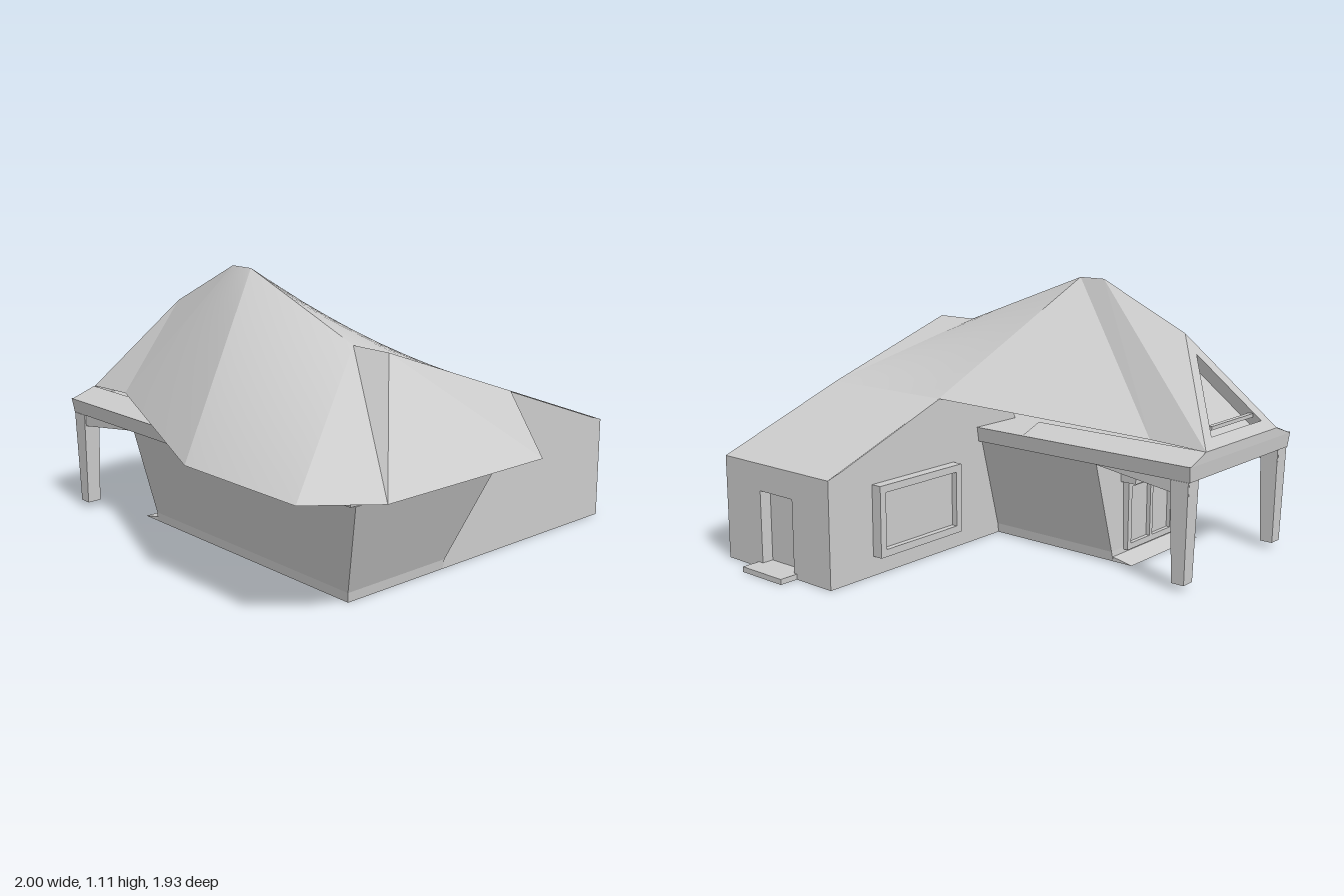
import * as THREE from 'three';

const mat = new THREE.MeshStandardMaterial({ color: 0xcccccc, flatShading: true, side: THREE.DoubleSide });
const smoothMat = new THREE.MeshStandardMaterial({ color: 0xcccccc, side: THREE.DoubleSide });
const MID = 0.34; // z of the ridge, the mirror line of the main house

function add(parent, name, geometry, material = mat) {
  const mesh = new THREE.Mesh(geometry, material);
  mesh.name = name;
  parent.add(mesh);
  return mesh;
}

// Flat faces, corners counter-clockwise from outside, split as fans
function faces(list) {
  const pos = [];
  for (const f of list)
    for (let i = 1; i < f.length - 1; i++) pos.push(...f[0], ...f[i], ...f[i + 1]);
  const g = new THREE.BufferGeometry();
  g.setAttribute('position', new THREE.Float32BufferAttribute(pos, 3));
  g.computeVertexNormals();
  return g;
}

// Smoothly twisted panel between four corners
function patch(a, b, c, d, n = 8) {
  const pos = [], index = [];
  const mix = (p, q, t) => p.map((v, i) => v + (q[i] - v) * t);
  for (let i = 0; i <= n; i++)
    for (let j = 0; j <= n; j++) pos.push(...mix(mix(a, b, i / n), mix(d, c, i / n), j / n));
  for (let i = 0; i < n; i++)
    for (let j = 0; j < n; j++) {
      const k = i * (n + 1) + j, m = k + n + 1;
      index.push(k, m, m + 1, k, m + 1, k + 1);
    }
  const g = new THREE.BufferGeometry();
  g.setAttribute('position', new THREE.Float32BufferAttribute(pos, 3));
  g.setIndex(index);
  g.computeVertexNormals();
  return g;
}

// Solid between two rectangles [x0, x1, z0, z1] at heights y0 and y1
function taper(r0, y0, r1, y1) {
  const ring = (r, y) => [[r[0], y, r[3]], [r[1], y, r[3]], [r[1], y, r[2]], [r[0], y, r[2]]];
  const b = ring(r0, y0), t = ring(r1, y1);
  const list = [t, [...b].reverse()];
  for (let i = 0; i < 4; i++) list.push([b[i], b[(i + 1) % 4], t[(i + 1) % 4], t[i]]);
  return faces(list);
}

const box = (x0, x1, y0, y1, z0, z1) => taper([x0, x1, z0, z1], y0, [x0, x1, z0, z1], y1);

// Rectangular frame on a wall facing -x
function windowFrame(parent, name, x0, x1, y0, y1, z0, z1, t) {
  const g = new THREE.Group();
  g.name = name;
  add(g, 'sill', box(x0, x1, y0, y0 + t, z0, z1));
  add(g, 'head', box(x0, x1, y1 - t, y1, z0, z1));
  add(g, 'jamb', box(x0, x1, y0 + t, y1 - t, z0, z0 + t));
  add(g, 'jamb', box(x0, x1, y0 + t, y1 - t, z1 - t, z1));
  add(g, 'pane', box((x0 + x1) / 2, x1, y0 + t, y1 - t, z0 + t, z1 - t));
  parent.add(g);
  return g;
}

function buildRoof(parent) {
  const roof = new THREE.Group();
  roof.name = 'roof';
  parent.add(roof);
  // Ridge points, then eave points
  const A = [-0.2, 1.11, MID], B = [0.41, 0.88, MID], C = [0.6, 0.88, MID];
  const H = [-0.32, 1.11, MID], I = [-0.72, 0.92, MID];
  const D = [1, 0.49, -0.06], E = [1, 0.49, 0.73], F = [0.81, 0.49, 0.96], G = [0.19, 0.49, 0.96];
  const J = [0.04, 0.65, -0.285], K = [0.65, 0.65, -0.285], L = [0.04, 0.43, -0.89], M = [0.65, 0.43, -0.89];
  const P = [-0.75, 0.54, 0.06], Q = [-0.75, 0.54, 0.61], N1 = [-1, 0.53, 0.06], N2 = [-1, 0.53, 0.61];

  add(roof, 'frontSlope', patch(A, G, F, B), smoothMat);
  add(roof, 'frontLeftSlope', patch(H, Q, G, A), smoothMat);
  add(roof, 'backSlope', patch(A, B, K, J), smoothMat);
  add(roof, 'wingRoof', faces([[J, K, M, L]]));
  add(roof, 'hipFaces', faces([
    [B, F, E, C], [C, E, D], [C, D, K, B],
    [I, N2, Q, H], [H, P, N1, I], [A, J, P, H],
  ]));

  // Triangular end with a recessed window
  const outer = [I, N1, N2];
  const mid = [0, 1, 2].map(k => (I[k] + N1[k] + N2[k]) / 3);
  const inner = outer.map(p => p.map((v, k) => mid[k] + (v - mid[k]) * 0.7));
  const deep = inner.map(p => [p[0] + 0.04, p[1] - 0.03, p[2]]);
  const ring = (a, b) => [0, 1, 2].map(i => [a[i], a[(i + 1) % 3], b[(i + 1) % 3], b[i]]);
  add(roof, 'gableSurround', faces(ring(outer, inner)));
  add(roof, 'gableReveal', faces(ring(inner, deep)));
  add(roof, 'gablePane', faces([deep]));
  add(roof, 'gableBar', box(-0.95, -0.93, 0.585, 0.6, 0.18, 0.5));

  // Low skirt from the porch edge up to the roof
  for (const s of [-1, 1]) {
    const z = d => MID + s * d;
    const f = [[-1, 0.49, z(0.385)], [-0.2, 0.49, z(0.385)], [-0.2, 0.53, z(0.275)], [-1, 0.53, z(0.275)]];
    add(roof, 'porchSkirt', faces([s > 0 ? f : f.reverse()]));
  }
  add(roof, 'porchEnd', faces([[[-1, 0.49, -0.045], [-1, 0.49, 0.725], N2, N1]]));
}

function buildPorch(parent) {
  const porch = new THREE.Group();
  porch.name = 'porch';
  parent.add(porch);
  for (const s of [-1, 1]) {
    const z = MID + s * 0.345;
    add(porch, 'post', taper([-0.98, -0.925, z - 0.03, z + 0.03], 0.025, [-0.99, -0.91, z - 0.037, z + 0.037], 0.43));
    // Bracket beam, thinning towards the wall
    const shape = new THREE.Shape([[-0.99, 0.43], [-0.99, 0.375], [-0.91, 0.38], [-0.55, 0.43]].map(p => new THREE.Vector2(...p)));
    const g = new THREE.ExtrudeGeometry(shape, { depth: 0.06, bevelEnabled: false });
    add(porch, 'bracket', g.translate(0, 0, z - 0.03));
  }
}

function buildWing(parent) {
  const wing = new THREE.Group();
  wing.name = 'backWing';
  parent.add(wing);
  // Side profile, drawn with -z to the right and extruded across x
  const side = new THREE.Shape([[-0.2, 0], [0.84, 0], [0.84, 0.445], [0.285, 0.647], [-0.1, 0.647], [-0.2, 0.5]].map(p => new THREE.Vector2(...p)));
  const body = new THREE.ExtrudeGeometry(side, { depth: 0.61, bevelEnabled: false });
  body.rotateY(Math.PI / 2).translate(0.04, 0, 0);
  add(wing, 'wingWalls', body);

  // Back wall with the door opening
  const wall = new THREE.Shape([[0.04, 0], [0.25, 0], [0.25, 0.32], [0.44, 0.32], [0.44, 0], [0.65, 0], [0.65, 0.43], [0.04, 0.43]].map(p => new THREE.Vector2(...p)));
  add(wing, 'backWall', new THREE.ExtrudeGeometry(wall, { depth: 0.05, bevelEnabled: false }).translate(0, 0, -0.89));
  // Cheeks closing the small gap under the sloping roof
  for (const x of [0.04, 0.65])
    add(wing, 'eaveCheek', faces([[[x, 0.43, -0.89], [x, 0.43, -0.84], [x, 0.447, -0.84]]]));
  add(wing, 'backStep', box(0.235, 0.465, 0, 0.022, -0.97, -0.84));
  windowFrame(wing, 'wingWindow', -0.005, 0.045, 0.08, 0.37, -0.665, -0.2, 0.03);
}

export function createModel() {
  const house = new THREE.Group();
  house.name = 'house';

  // Main walls lean outwards above a low plinth
  add(house, 'plinth', taper([-0.57, 0.65, 0.09, 0.585], 0, [-0.565, 0.655, 0.085, 0.59], 0.04));
  add(house, 'mainWalls', taper([-0.565, 0.655, 0.085, 0.59], 0.04, [-0.555, 0.815, -0.02, 0.7], 0.43));
  add(house, 'fascia', taper([-0.995, 0.81, -0.04, 0.72], 0.43, [-1, 0.825, -0.05, 0.73], 0.492));

  // Entrance under the porch
  add(house, 'porchStep', taper([-0.66, -0.56, 0.09, 0.585], 0, [-0.57, -0.56, 0.09, 0.585], 0.018));
  windowFrame(house, 'entranceWindow', -0.585, -0.55, 0.03, 0.32, 0.17, 0.51, 0.025);
  add(house, 'mullion', box(-0.585, -0.55, 0.03, 0.32, 0.33, 0.35));
  add(house, 'entranceCanopy', box(-0.63, -0.55, 0.32, 0.36, 0.15, 0.53));

  buildPorch(house);
  buildWing(house);
  buildRoof(house);
  return house;
}
